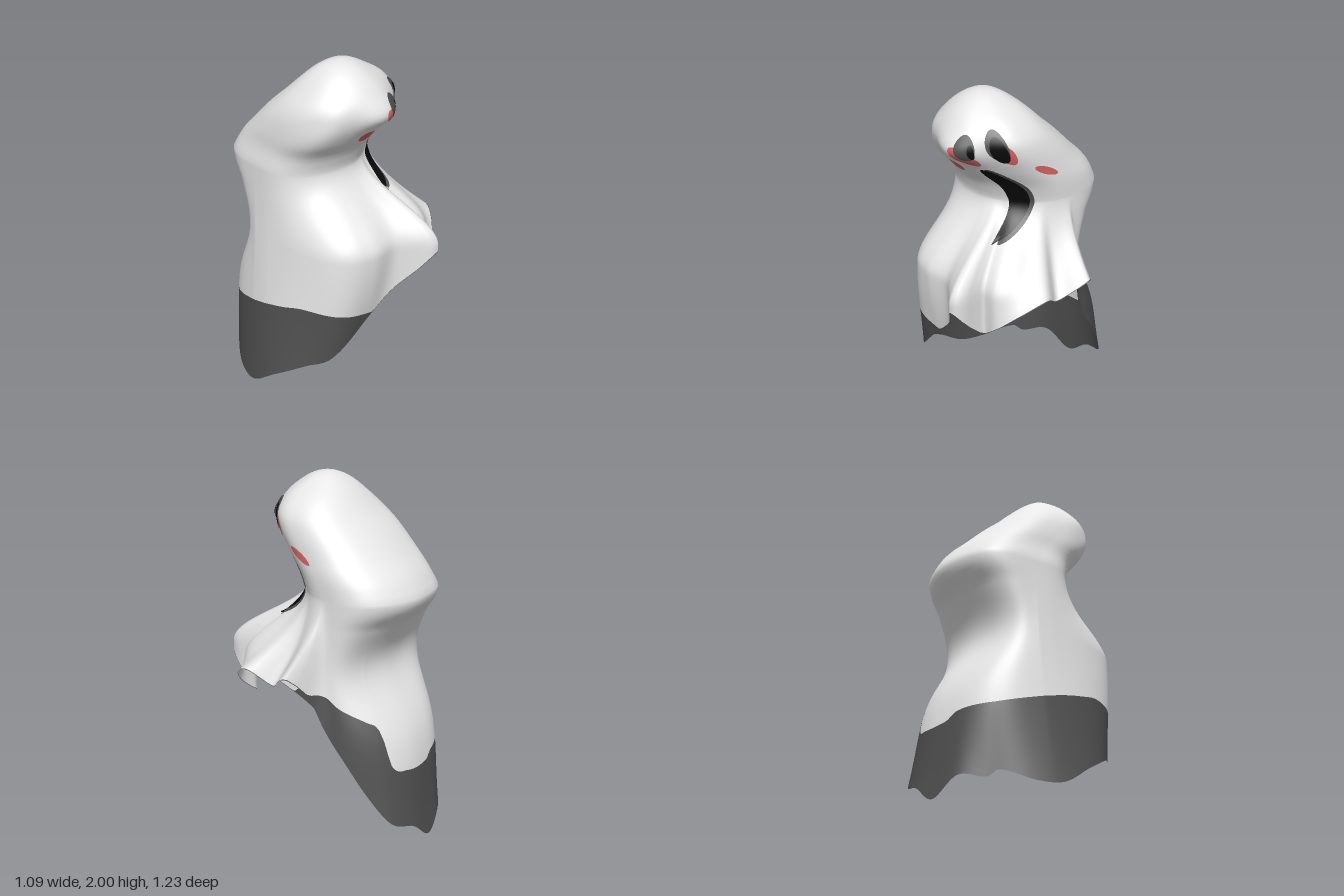
import * as THREE from 'three';

const TAU = Math.PI * 2, RAD = Math.PI / 180;
const TOP = 2, WAIST = 1.4;
const { lerp, smoothstep, clamp } = THREE.MathUtils;

// Smooth interpolation through rows whose first entry is the key
function sample(rows, key) {
  let i = 0;
  while (i < rows.length - 2 && key > rows[i + 1][0]) i++;
  const p = rows[Math.max(i - 1, 0)], a = rows[i], b = rows[i + 1], q = rows[Math.min(i + 2, rows.length - 1)];
  const h = b[0] - a[0], t = clamp((key - a[0]) / h, 0, 1), t2 = t * t, t3 = t2 * t;
  return a.slice(1).map((v, k) => {
    const w = b[k + 1];
    const m0 = (w - p[k + 1]) / (b[0] - p[0]) * h, m1 = (q[k + 1] - v) / (q[0] - a[0]) * h;
    return (2 * t3 - 3 * t2 + 1) * v + (t3 - 2 * t2 + t) * m0 + (3 * t2 - 2 * t3) * w + (t3 - t2) * m1;
  });
}

// Repeat an angular table on both sides so it closes smoothly
function wrap(rows) {
  return [-TAU, 0, TAU].flatMap(o => rows.map(r => [r[0] + o, ...r.slice(1)]));
}

// Head and shoulders: y, x min, x max, z min, z max
const headKey = y => Math.sqrt(Math.max(0, TOP - y) / (TOP - WAIST));
const HEAD = [
  [2.0, -0.07, -0.07, 0.12, 0.12],
  [1.95, -0.21, 0.08, -0.01, 0.26],
  [1.88, -0.29, 0.19, -0.09, 0.335],
  [1.8, -0.36, 0.26, -0.17, 0.375],
  [1.72, -0.395, 0.285, -0.26, 0.365],
  [1.6, -0.41, 0.30, -0.38, 0.29],
  [1.5, -0.41, 0.31, -0.48, 0.21],
  [1.4, -0.43, 0.31, -0.54, 0.17],
].map(r => [headKey(r[0]), ...r.slice(1)]);

// Swellings of the head: degrees, y, angular spread, height spread, amount
const BUMPS = [[8, 1.735, 15, 0.055, 0.05], [-42, 1.68, 11, 0.09, 0.02]];

// Hem of the sheet: x, y, z, running round from the front towards +x
const CX = -0.05, CZ = -0.15;
const HEM = wrap([
  [0, 0.70, 0.46], [0.13, 0.84, 0.56], [0.2, 0.93, 0.615], [0.235, 0.82, 0.52], [0.22, 0.72, 0.41],
  [0.34, 0.80, 0.41], [0.45, 0.90, 0.34], [0.52, 0.97, 0.2], [0.46, 0.89, 0.07], [0.54, 0.99, -0.11],
  [0.42, 0.88, -0.15], [0.36, 0.68, -0.23], [0.33, 0.50, -0.35], [0.27, 0.30, -0.47], [0.19, 0.15, -0.57],
  [0.05, 0.10, -0.61], [-0.1, 0, -0.61], [-0.25, 0.10, -0.56], [-0.36, 0.08, -0.46], [-0.395, 0.12, -0.41],
  [-0.5, 0.07, -0.25], [-0.545, 0.08, -0.1], [-0.54, 0.2, 0.08], [-0.46, 0.3, 0.25], [-0.36, 0.35, 0.35],
  [-0.15, 0.56, 0.42],
].map(([x, y, z]) => [Math.atan2(x - CX, z - CZ), Math.hypot(x - CX, z - CZ), y]).sort((a, b) => a[0] - b[0]));

// Upper limit of the dark border by angle: degrees, y
const BORDER = wrap([
  [-170, 0.43], [-160, 0.47], [-126, 0.5], [-90, 0.56], [-60, 0.62], [-45, 0.65], [-20, 0.62], [0, 0.58],
  [50, 0.5], [85, 0.85], [100, 0.86], [115, 0.8], [138, 0.72], [146, 0.67], [151, 0.48], [165, 0.43],
].map(([d, y]) => [d * RAD, y]));

const norm = a => Math.atan2(Math.sin(a), Math.cos(a));

// Rounded ring around the head at height y: squarer at the back, narrower at the face
function headPoint(a, y) {
  const s = headKey(y), [x0, x1, z0, z1] = sample(HEAD, s);
  const sn = Math.sin(a), cs = Math.cos(a);
  let e = 2.1;
  if (cs < 0) e += 0.35 * Math.abs(sn * cs) * 2;
  else if (sn > 0) e -= 0.4 * sn * cs * 2;
  else e = 1.95 + 0.8 * smoothstep(s, 0.65, 0.88);
  const r = Math.pow(Math.pow(Math.abs(sn), e) + Math.pow(Math.abs(cs), e), -1 / e) * (1 + 0.012 * s * Math.cos(6 * a + 0.6));
  let bump = 0;
  for (const [deg, by, da, dy, amount] of BUMPS) {
    bump += amount * Math.exp(-Math.pow(norm(a - deg * RAD) / (da * RAD), 2) / 2 - Math.pow((y - by) / dy, 2) / 2);
  }
  return new THREE.Vector3(
    (x0 + x1) / 2 + ((x1 - x0) / 2 * r + bump) * sn, y,
    (z0 + z1) / 2 + ((z1 - z0) / 2 * r + bump) * cs);
}

// Point on the sheet at an angle and a height
function sheetPoint(a, y) {
  a = norm(a);
  if (y >= WAIST) return headPoint(a, y);
  const p = headPoint(a, WAIST), [r, hy] = sample(HEM, a), deg = a / RAD;
  const t = (WAIST - y) / (WAIST - hy), back = Math.max(0, -Math.cos(a));
  // The front swings out early and then hangs; the sides and back flare late
  const front = smoothstep(deg, -72, -15) * (1 - smoothstep(deg, 28, 62));
  const flare = lerp(Math.pow(t, 1.7 + 1.3 * back), smoothstep(WAIST - y, 0, 0.43), front);
  const belly = 0.06 * front * (1 - smoothstep(deg, -10, 12)) * Math.sin(Math.PI * clamp(t, 0, 1));
  const hx = CX + (r + belly) * Math.sin(a), hz = CZ + (r + belly) * Math.cos(a);
  p.set(lerp(p.x, hx, flare), y, lerp(p.z, hz, flare));
  // Hollow below the shoulders at the back
  const ease = smoothstep(WAIST - y, 0, 0.16);
  p.z += 0.21 * back * ease * Math.exp(-Math.pow((y - 1) / 0.2, 2) / 2);
  return p;
}

// Whole draped sheet, with the border rows as a second material group
function sheetGeometry() {
  const cols = 200, headRows = 36, bodyRows = 36, borderRows = 16;
  const rows = headRows + bodyRows + borderRows, pos = [], index = [];
  for (let j = 0; j <= rows; j++) {
    for (let i = 0; i < cols; i++) {
      const a = norm(i / cols * TAU), hy = sample(HEM, a)[1];
      const edge = Math.max(hy + 0.003, sample(BORDER, a)[0]);
      let y;
      if (j <= headRows) y = TOP - (TOP - WAIST) * Math.pow(Math.max(j, 0.02) / headRows, 2);
      else if (j <= headRows + bodyRows) y = lerp(WAIST, edge, (j - headRows) / bodyRows);
      else y = lerp(edge, hy, (j - headRows - bodyRows) / borderRows);
      pos.push(...sheetPoint(a, y).toArray());
    }
  }
  for (let j = 0; j < rows; j++) {
    for (let i = 0; i < cols; i++) {
      const k = (i + 1) % cols, a = j * cols + i, b = j * cols + k, c = a + cols, d = b + cols;
      index.push(a, c, b, b, c, d);
    }
  }
  const g = new THREE.BufferGeometry();
  g.setAttribute('position', new THREE.Float32BufferAttribute(pos, 3));
  g.setIndex(index);
  const split = (headRows + bodyRows) * cols * 6;
  g.addGroup(0, split, 0);
  g.addGroup(split, index.length - split, 1);
  g.computeVertexNormals();
  return g;
}

// Thin painted patch: a unit disc mapped to (degrees, height) and laid on the sheet
function patch(name, material, lift, map) {
  const g = new THREE.RingGeometry(0.001, 1, 48, 12), p = g.attributes.position;
  for (let i = 0; i < p.count; i++) {
    const [deg, y] = map(p.getX(i), p.getY(i)), a = deg * RAD;
    const v = sheetPoint(a, y);
    const du = sheetPoint(a + 0.02, y).sub(sheetPoint(a - 0.02, y));
    const dy = sheetPoint(a, y + 0.01).sub(sheetPoint(a, y - 0.01));
    v.addScaledVector(du.cross(dy).normalize(), lift);
    p.setXYZ(i, v.x, v.y, v.z);
  }
  g.computeVertexNormals();
  const m = new THREE.Mesh(g, material);
  m.name = name;
  return m;
}

// Oval patch: centre, half sizes and tilt
const oval = (name, material, lift, deg, y, w, h, tilt = 0) =>
  patch(name, material, lift, (a, b) => [deg + w * a, y + h * b + tilt * a]);

// Crescent patch for the mouth, tapering to a point at the bottom
const crescent = (name, material, lift, shift) =>
  patch(name, material, lift, (a, b) => [
    shift + 25 + 15 * (1 - b * b) + 13 * a * (0.75 + 0.3 * b), 1.415 + 0.22 * b]);

export function createModel() {
  const make = (name, color, side = THREE.FrontSide) => {
    const m = new THREE.MeshStandardMaterial({ color, side });
    m.name = name;
    return m;
  };
  const white = make('sheet white', 0xececec, THREE.DoubleSide);
  const grey = make('border grey', 0x505050, THREE.DoubleSide);
  const black = make('mouth black', 0x0a0a0a);
  const red = make('cheek red', 0xd86464);

  const model = new THREE.Group();
  model.name = 'ghost';
  const sheet = new THREE.Mesh(sheetGeometry(), [white, grey]);
  sheet.name = 'sheet';
  model.add(sheet);

  // Eyes: red lower rim, grey socket, black pupil
  model.add(
    oval('rightEyeRim', red, 0.004, 17, 1.717, 11.5, 0.045, -0.035),
    oval('rightEyeSocket', grey, 0.006, 20, 1.772, 9, 0.066),
    oval('rightEyePupil', black, 0.008, 25, 1.755, 3, 0.038),
    oval('leftEyeRim', red, 0.004, 60, 1.733, 7.5, 0.055, 0.01),
    oval('leftEyeSocket', grey, 0.006, 52, 1.787, 12, 0.083),
    oval('leftEyePupil', black, 0.008, 53, 1.765, 9, 0.072),
  );

  // Cheeks
  model.add(
    oval('rightCheek', red, 0.006, -2, 1.62, 7.5, 0.038),
    oval('leftCheek', red, 0.006, 83, 1.608, 8.5, 0.034, -0.024),
  );

  // Long curved open mouth with a grey lip along one side
  model.add(
    crescent('mouthLip', grey, 0.005, 4),
    crescent('mouth', black, 0.008, 0),
  );
  return model;
}
